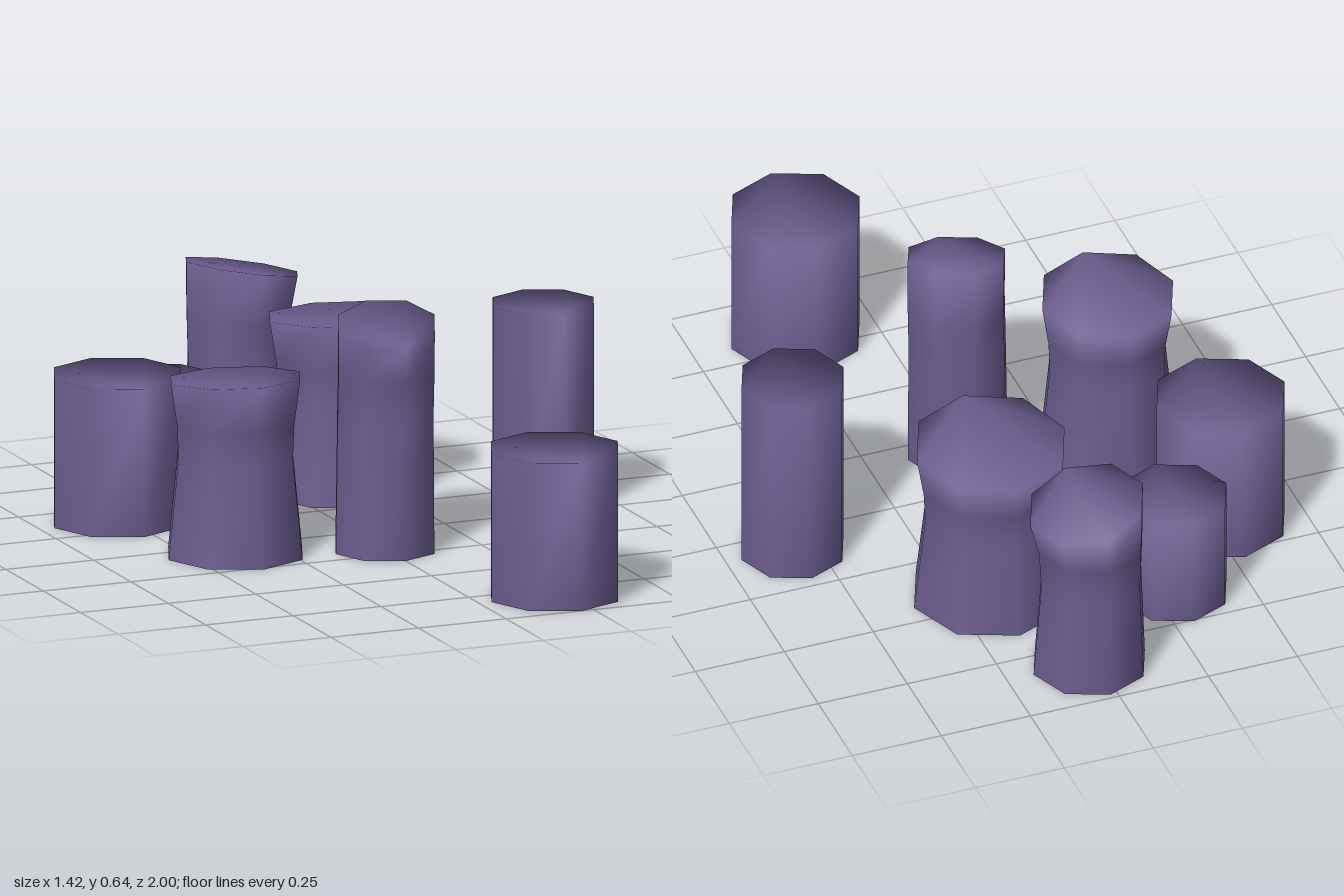
import * as THREE from 'three';

const SIDES = 8;

// Octagonal column, open underneath, smooth over the rim.
// rings: [y, centre x, centre z, radius]; the last ring may tilt along x and z.
function columnGeometry(rings, tiltX = 0, tiltZ = 0) {
  const pos = [], index = [];
  rings.forEach(([y, cx, cz, r], j) => {
    const top = j === rings.length - 1;
    for (let i = 0; i < SIDES; i++) {
      const a = (i / SIDES) * Math.PI * 2;
      const dx = Math.sin(a) * r, dz = Math.cos(a) * r;
      pos.push(cx + dx, y + (top ? dx * tiltX + dz * tiltZ : 0), cz + dz);
    }
  });
  // side walls
  for (let j = 0; j < rings.length - 1; j++) {
    for (let i = 0; i < SIDES; i++) {
      const k = (i + 1) % SIDES;
      const a = j * SIDES + i, b = j * SIDES + k;
      index.push(a, b, b + SIDES, a, b + SIDES, a + SIDES);
    }
  }
  // top cap shares the rim vertices
  const t = (rings.length - 1) * SIDES;
  for (let i = 1; i < SIDES - 1; i++) index.push(t, t + i, t + i + 1);
  const g = new THREE.BufferGeometry();
  g.setAttribute('position', new THREE.Float32BufferAttribute(pos, 3));
  g.setIndex(index);
  g.computeVertexNormals();
  return g;
}

export function createModel() {
  const group = new THREE.Group();
  group.name = 'columnCluster';
  const stone = new THREE.MeshStandardMaterial({ color: 0x6b5d8f, side: THREE.DoubleSide });
  stone.name = 'purple stone';

  const add = (name, rings, tiltX, tiltZ) => {
    const mesh = new THREE.Mesh(columnGeometry(rings, tiltX, tiltZ), stone);
    mesh.name = name;
    group.add(mesh);
  };

  // Straight columns: name, x, z, radius, height
  for (const [name, x, z, r, h] of [
    ['frontColumn', 0.215, 0.82, 0.18, 0.4],
    ['leftColumn', 0.565, -0.075, 0.143, 0.55],
    ['rightColumn', -0.53, -0.355, 0.18, 0.4],
    ['shortColumn', -0.303, -0.61, 0.146, 0.31],
  ]) add(name, [[0, x, z, r], [h, x, z, r]]);

  // Wide waisted columns with tops sloping to the back: name, x, z, scale
  for (const [name, x, z, s] of [
    ['wideRightColumn', -0.378, 0.077, 0.19],
    ['wideCentreColumn', 0.147, -0.438, 0.215],
  ]) add(name, [
    [0, x, z, s], [0.27, x, z, s * 0.855], [0.36, x, z, s * 0.875], [0.474, x, z, s * 0.965],
  ], 0, 0.085);

  // Tall leaning column, top sloping to the front
  add('tallColumn', [
    [0, 0, 0.19, 0.14], [0.37, 0.005, 0.182, 0.136],
    [0.48, 0.005, 0.188, 0.136], [0.612, -0.003, 0.207, 0.137],
  ], 0.1, -0.24);

  // Back leaning column, top sloping to its left
  add('backColumn', [
    [0, 0.02, -0.83, 0.156], [0.28, 0.015, -0.832, 0.14],
    [0.39, 0.018, -0.835, 0.145], [0.52, 0.032, -0.842, 0.158],
  ], -0.18, 0.08);

  return group;
}
